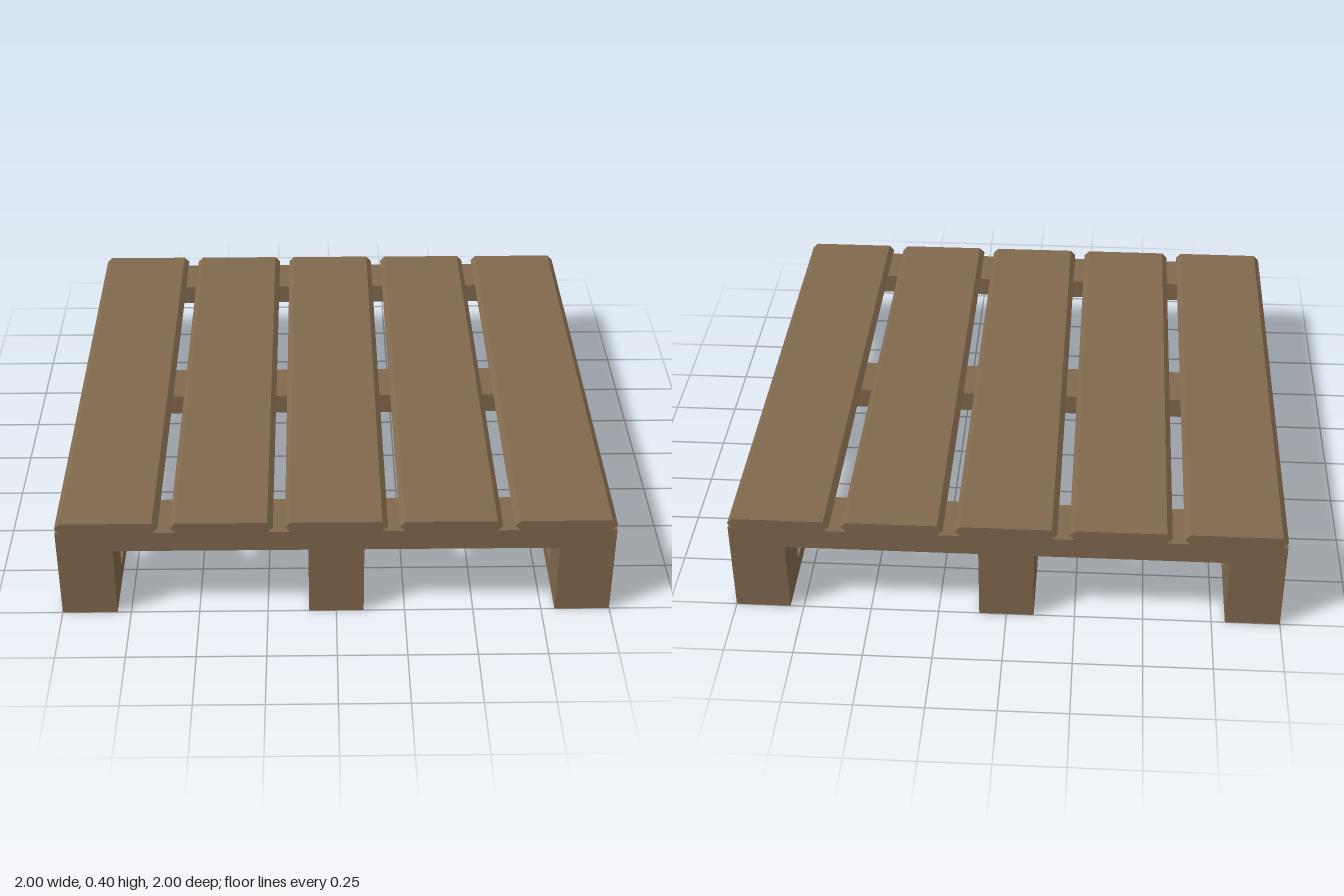
import * as THREE from 'three';

export function createModel() {
  const model = new THREE.Group();
  model.name = 'pallet';
  const wood = new THREE.MeshStandardMaterial({ color: 0x80684d, flatShading: true });

  const add = (name, geometry, x, y, z) => {
    const mesh = new THREE.Mesh(geometry, wood);
    mesh.name = name;
    mesh.position.set(x, y, z);
    model.add(mesh);
  };

  const rows = [-0.9, 0, 0.9];
  const runner = new THREE.BoxGeometry(0.2, 0.06, 2);
  const block = new THREE.BoxGeometry(0.2, 0.22, 0.2);
  const crossBoard = new THREE.BoxGeometry(2, 0.08, 0.2);

  // Bottom runners front to back, with cross boards carried on nine blocks
  for (const p of rows) {
    add('bottomRunner', runner, p, 0.03, 0);
    add('crossBoard', crossBoard, 0, 0.32, p);
    for (const z of rows) add('block', block, p, 0.17, z);
  }

  // Deck boards with pointed long edges
  const half = 0.183, bevel = 0.02;
  const profile = new THREE.Shape([
    [-half, 0], [-half + bevel, -bevel], [half - bevel, -bevel],
    [half, 0], [half - bevel, bevel], [-half + bevel, bevel],
  ].map(([x, y]) => new THREE.Vector2(x, y)));
  const deckBoard = new THREE.ExtrudeGeometry(profile, { depth: 2, bevelEnabled: false });
  deckBoard.translate(0, 0, -1);
  const pitch = (1 - half) / 2;
  for (let i = -2; i <= 2; i++) add('deckBoard', deckBoard, i * pitch, 0.38, 0);

  return model;
}
